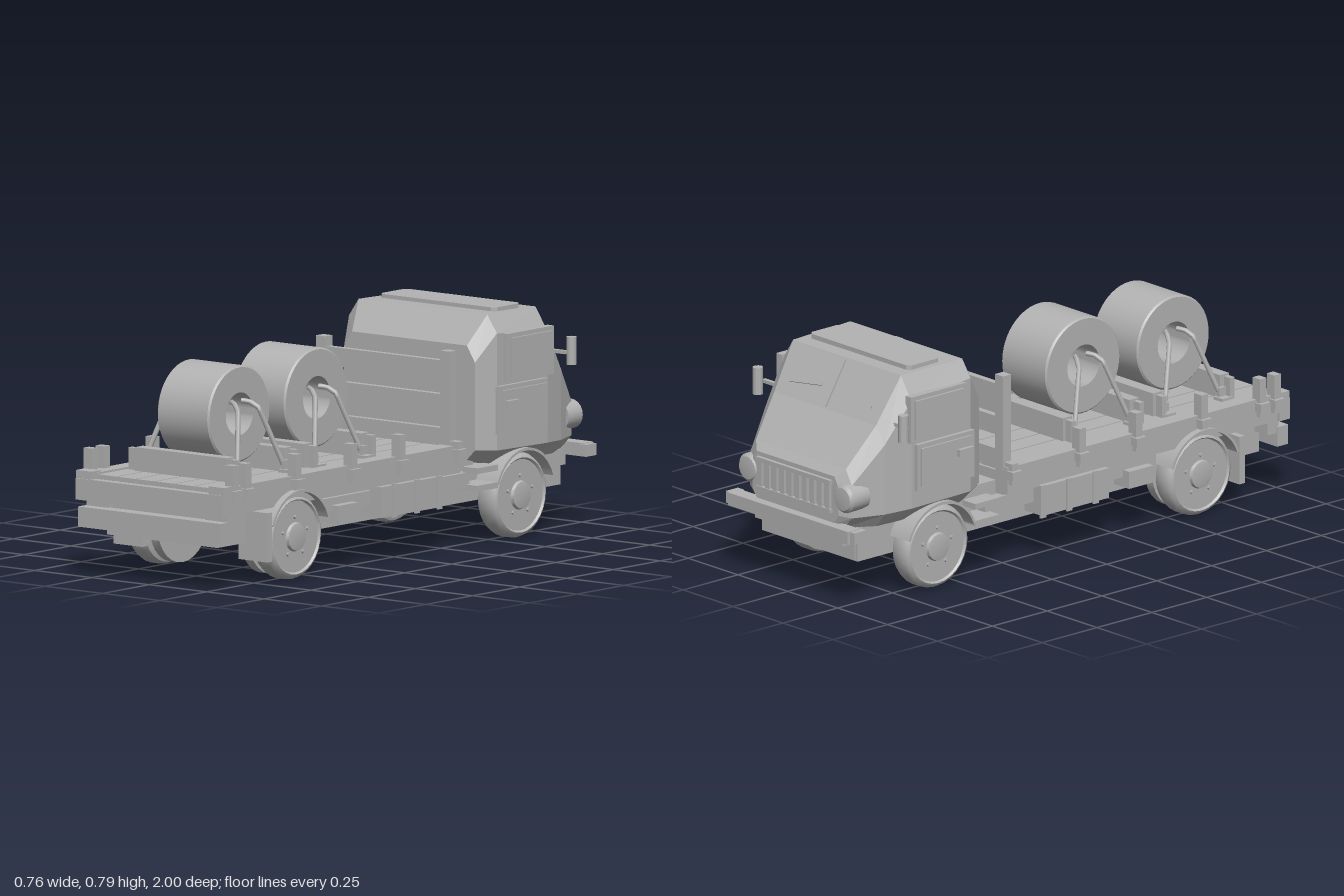
import * as THREE from 'three';
import { toCreasedNormals } from 'three/addons/utils/BufferGeometryUtils.js';

const gray = new THREE.MeshStandardMaterial({ color: 0xb2b2b2 });
gray.name = 'plain gray';

export function createModel() {
  const root = new THREE.Group();
  root.name = 'flatbedTruck';

  const add = (name, geo, x = 0, y = 0, z = 0) => {
    const m = new THREE.Mesh(geo, gray);
    m.name = name;
    m.position.set(x, y, z);
    root.add(m);
    return m;
  };
  // Box given by its limits on each axis
  const box = (name, x0, x1, y0, y1, z0, z1) =>
    add(name, new THREE.BoxGeometry(x1 - x0, y1 - y0, z1 - z0), (x0 + x1) / 2, (y0 + y1) / 2, (z0 + z1) / 2);
  const pair = (name, x0, x1, ...r) => {
    box(name, x0, x1, ...r);
    box(name, -x1, -x0, ...r);
  };
  // Turned part with its axis along x; profile is [radius, offset]
  const turned = (name, pts, n, x, y, z, side = 1) => {
    const g = new THREE.LatheGeometry(pts.map(p => new THREE.Vector2(...p)), n);
    g.rotateZ(-side * Math.PI / 2);
    return add(name, toCreasedNormals(g, 0.6), x, y, z);
  };

  // Chassis
  box('chassis', -0.24, 0.24, 0.14, 0.26, -0.9, 0.93);
  pair('chassisRail', 0.24, 0.285, 0.2, 0.25, -0.36, 0.42);
  pair('sideTank', 0.24, 0.33, 0.16, 0.265, -0.14, 0.165);
  for (const z of [-0.14, -0.02, 0.1]) pair('tankStrap', 0.33, 0.337, 0.155, 0.27, z - 0.012, z + 0.012);
  pair('sideBox', 0.24, 0.315, 0.165, 0.225, 0.27, 0.38);
  box('cabMount', -0.25, 0.25, 0.24, 0.3, -0.42, -0.27);
  pair('cabStep', 0.24, 0.335, 0.19, 0.21, -0.45, -0.34);
  pair('stepBracket', 0.27, 0.335, 0.25, 0.27, -0.45, -0.34);

  // Deck with lengthwise planks
  box('deckFrame', -0.29, 0.29, 0.255, 0.335, -0.28, 0.96);
  pair('deckSideBeam', 0.25, 0.31, 0.26, 0.355, -0.28, 0.97);
  for (let i = 0; i < 6; i++) {
    const x = -0.25 + i * 0.0835;
    box('deckPlank', x + 0.003, x + 0.0805, 0.33, 0.349, -0.27, 0.97);
  }
  box('deckEndBeam', -0.32, 0.32, 0.26, 0.333, 0.95, 1);
  pair('deckEndCorner', 0.255, 0.322, 0.29, 0.36, 0.945, 0.995);
  box('endBumper', -0.31, 0.31, 0.168, 0.237, 0.95, 1);
  pair('endBumperBracket', 0.21, 0.305, 0.215, 0.26, 0.91, 0.96);

  // Side stakes and their pockets
  for (const z of [0.936, 0.87, 0.604, 0.305, 0.048, -0.26]) {
    const top = z < -0.2 ? 0.37 : 0.43;
    pair('sideStake', 0.29, 0.327, 0.295, top, z - 0.015, z + 0.015);
    pair('stakePocket', 0.3, 0.34, 0.315, 0.345, z - 0.022, z + 0.022);
  }

  // Headboard
  pair('headboardPost', 0.25, 0.29, 0.34, 0.675, -0.283, -0.245);
  for (const [y0, y1] of [[0.575, 0.64], [0.46, 0.525], [0.35, 0.41]])
    box('headboardRail', -0.255, 0.255, y0, y1, -0.278, -0.255);

  // Coils, chocks and tie rods
  for (const [z, y, r] of [[0.245, 0.56, 0.17], [0.657, 0.553, 0.165]]) {
    const w = 0.113, ri = 0.073, b = 0.006;
    turned('coil', [[ri, -w], [r - b, -w], [r, -w + b], [r, w - b], [r - b, w], [ri, w], [ri, -w]], 48, 0, y, z);
    for (const s of [-1, 1]) {
      const c = z + s * 0.152;
      box('chock', -0.2, 0.2, 0.348, 0.43, c - 0.021, c + 0.021);
      for (const k of [-1, 1]) {
        const p = [[0.1, 0.595, 0.025], [0.125, 0.592, 0.04], [0.152, 0.572, 0.055], [0.205, 0.37, 0.125]]
          .map(q => new THREE.Vector3(k * q[0], q[1], z + s * q[2]));
        const path = new THREE.CurvePath();
        for (let i = 0; i < 3; i++) path.add(new THREE.LineCurve3(p[i], p[i + 1]));
        add('tieRod', new THREE.TubeGeometry(path, 18, 0.009, 6));
      }
      const e = z + s * 0.13;
      pair('tiePlate', 0.195, 0.242, 0.349, 0.36, e - 0.024, e + 0.024);
      pair('tieBracket', 0.2, 0.215, 0.35, 0.39, e - 0.015, e + 0.015);
      pair('tieLug', 0.205, 0.236, 0.35, 0.425, e + s * 0.025 - 0.01, e + s * 0.025 + 0.01);
    }
  }

  // Wheels, hubs and mudguards
  const tyre = [[0, -0.042], [0.12, -0.042], [0.138, -0.036], [0.146, -0.02], [0.146, 0.02], [0.138, 0.036],
    [0.128, 0.042], [0.122, 0.035], [0.05, 0.035], [0.046, 0.045], [0.036, 0.047], [0, 0.047]];
  const guard = new THREE.Shape();
  guard.absarc(0, 0, 0.163, 0.35, Math.PI - 0.35, false);
  guard.absarc(0, 0, 0.154, Math.PI - 0.35, 0.35, true);
  const guardGeo = new THREE.ExtrudeGeometry(guard, { depth: 0.115, bevelEnabled: false, curveSegments: 14 });
  guardGeo.rotateY(Math.PI / 2);
  const guardSmooth = toCreasedNormals(guardGeo, 0.4);
  for (const s of [-1, 1]) for (const z of [0.6, -0.6]) {
    turned('wheel', tyre, 28, s * 0.273, 0.146, z, s);
    for (let i = 0; i < 5; i++) {
      const a = i / 5 * Math.PI * 2 + 0.3;
      turned('wheelNut', [[0.007, 0], [0.007, 0.008], [0, 0.008]], 6,
        s * 0.307, 0.146 + 0.068 * Math.sin(a), z + 0.068 * Math.cos(a), s);
    }
    if (z > 0) turned('innerWheel', [[0, -0.018], [0.134, -0.018], [0.134, 0.018], [0, 0.018]], 28, s * 0.198, 0.146, z, s);
    add('mudguard', guardSmooth, s > 0 ? 0.22 : -0.335, 0.146, z);
  }
  pair('mudFlap', 0.21, 0.335, 0.082, 0.25, 0.755, 0.78);

  // Cab: eight-sided cross-sections [z, base half width, base y, half width, sill y, shoulder y, roof half width, roof y]
  const rings = [
    [-0.388, 0.25, 0.285, 0.285, 0.32, 0.62, 0.25, 0.675],
    [-0.46, 0.27, 0.265, 0.322, 0.315, 0.715, 0.28, 0.775],
    [-0.73, 0.27, 0.258, 0.322, 0.31, 0.69, 0.27, 0.77],
    [-0.83, 0.26, 0.256, 0.298, 0.305, 0.55, 0.255, 0.61],
    [-0.94, 0.215, 0.262, 0.255, 0.305, 0.42, 0.225, 0.472],
    [-0.965, 0.19, 0.275, 0.215, 0.31, 0.41, 0.195, 0.445],
  ].map(([z, bw, by, w, sy, hy, rw, ry]) =>
    [[bw, by], [w, sy], [w, hy], [rw, ry], [-rw, ry], [-w, hy], [-w, sy], [-bw, by]].map(p => [p[0], p[1], z]));
  const pos = [];
  const tri = (a, b, c) => pos.push(...a, ...b, ...c);
  for (let i = 0; i < rings.length - 1; i++) for (let j = 0; j < 8; j++) {
    const k = (j + 1) % 8, A = rings[i], B = rings[i + 1];
    tri(A[j], B[j], B[k]);
    tri(A[j], B[k], A[k]);
  }
  const last = rings[rings.length - 1];
  for (let j = 1; j < 7; j++) {
    tri(rings[0][0], rings[0][j], rings[0][j + 1]);
    tri(last[0], last[j + 1], last[j]);
  }
  const cab = new THREE.BufferGeometry();
  cab.setAttribute('position', new THREE.Float32BufferAttribute(pos, 3));
  cab.computeVertexNormals();
  add('cab', cab);

  // Roof hatch with rounded corners
  const hatch = new THREE.Shape();
  const hx = 0.252, hz = 0.072, c = 0.015;
  [[-hx + c, -hz], [hx - c, -hz], [hx, -hz + c], [hx, hz - c], [hx - c, hz], [-hx + c, hz], [-hx, hz - c], [-hx, -hz + c]]
    .forEach((p, i) => (i ? hatch.lineTo(...p) : hatch.moveTo(...p)));
  const hatchGeo = new THREE.ExtrudeGeometry(hatch, { depth: 0.02, bevelEnabled: false });
  hatchGeo.rotateX(-Math.PI / 2);
  add('roofHatch', hatchGeo, 0, 0.767, -0.605);

  // Doors, windows, handles and mirrors
  pair('doorPanel', 0.31, 0.336, 0.37, 0.535, -0.715, -0.455);
  pair('doorInset', 0.33, 0.343, 0.385, 0.52, -0.7, -0.47);
  pair('doorWindowFrame', 0.31, 0.338, 0.545, 0.71, -0.745, -0.495);
  pair('doorWindow', 0.33, 0.346, 0.56, 0.695, -0.73, -0.51);
  pair('doorHandle', 0.34, 0.357, 0.46, 0.485, -0.54, -0.475);
  pair('mirrorArm', 0.3, 0.36, 0.61, 0.622, -0.79, -0.775);
  for (const s of [-1, 1])
    add('mirror', new THREE.CylinderGeometry(0.018, 0.018, 0.095, 10), s * 0.365, 0.62, -0.805);

  // Windscreen divider and wipers, lying on the sloped glass
  const tilt = Math.atan2(0.1, 0.16);
  const onGlass = (name, w, h, x, z, turn) => {
    const m = add(name, new THREE.BoxGeometry(w, h, 0.008), x, 0.77 + (z + 0.73) * 1.6, z - 0.003);
    m.rotation.set(tilt, 0, turn);
  };
  onGlass('windscreenDivider', 0.006, 0.17, 0, -0.78, 0);
  onGlass('wiper', 0.15, 0.008, -0.13, -0.795, 0.14);
  onGlass('wiper', 0.15, 0.008, 0.13, -0.795, -0.14);

  // Grille, headlights and front bumper
  box('grilleTopBar', -0.185, 0.185, 0.415, 0.43, -0.978, -0.955);
  box('grilleBottomBar', -0.185, 0.185, 0.315, 0.328, -0.978, -0.955);
  for (let i = 0; i < 10; i++) {
    const x = -0.17 + i * 0.34 / 9;
    box('grilleBar', x - 0.01, x + 0.01, 0.325, 0.418, -0.975, -0.955);
  }
  for (const s of [-1, 1]) {
    const lamp = new THREE.LatheGeometry([[0, -0.05], [0.05, -0.05], [0.05, 0.025], [0.04, 0.035], [0, 0.04]]
      .map(p => new THREE.Vector2(...p)), 20);
    lamp.rotateX(-Math.PI / 2);
    add('headlight', toCreasedNormals(lamp, 0.6), s * 0.238, 0.375, -0.935);
  }
  box('frontBumper', -0.3, 0.3, 0.235, 0.28, -1, -0.945);
  pair('bumperEnd', 0.29, 0.322, 0.237, 0.278, -0.99, -0.935);
  box('bumperApron', -0.23, 0.23, 0.145, 0.235, -0.905, -0.875);
  box('bumperMount', -0.22, 0.22, 0.2, 0.27, -0.95, -0.88);
  return root;
}
